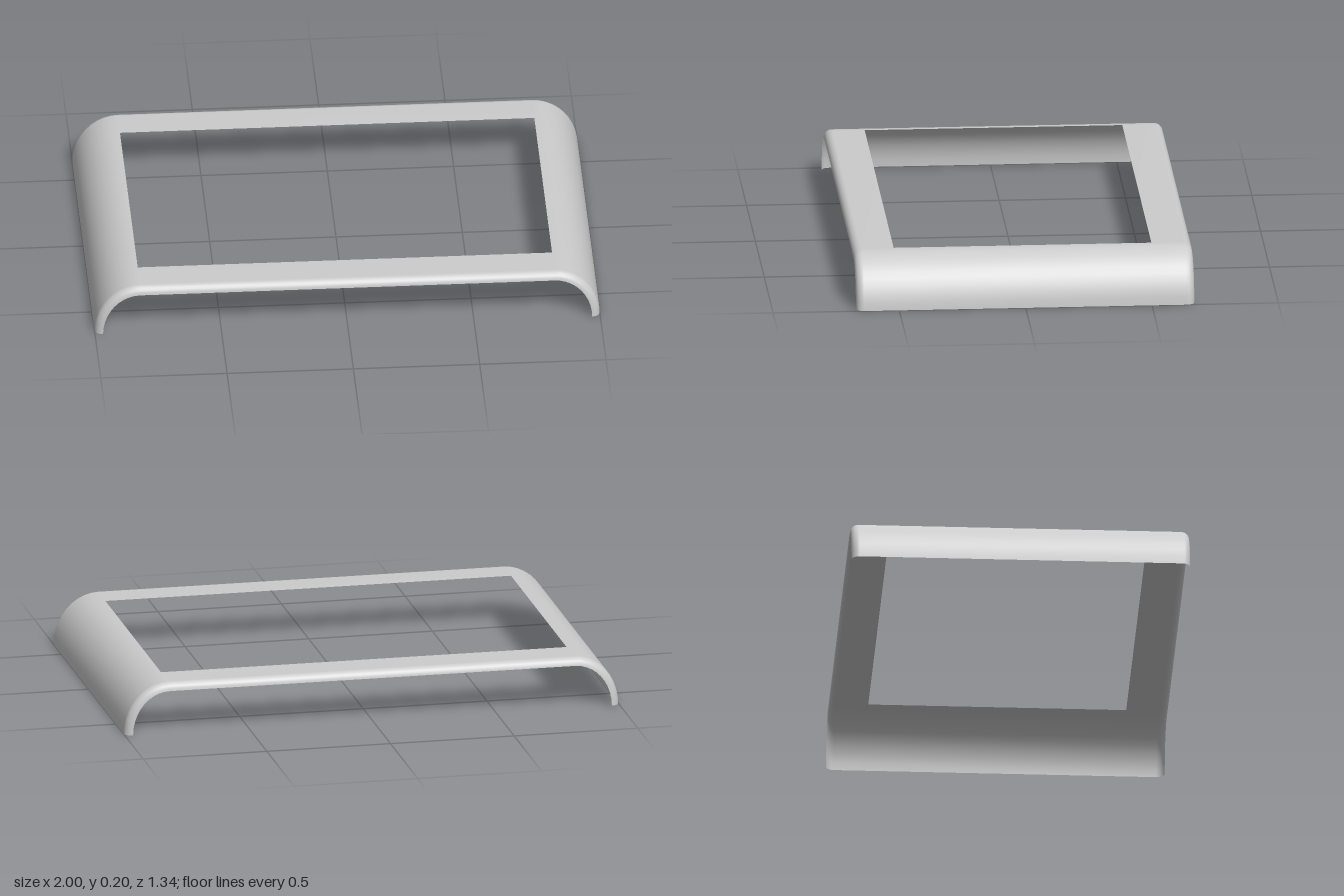
import * as THREE from 'three';

// Open frame cover: curved side walls, flat top with a window, rounded front and back lips.
const HALF_TOP = 0.82, ARC_X = 0.18, HEIGHT = 0.205;
const HALF_DEPTH = 0.67, LIP = 0.032, WINDOW_Z = 0.51;
const ARC_STEPS = 10, LIP_STEPS = 5;

// Arch from the right foot to the left foot, each point with its outward normal
function archProfile() {
  const half = [];
  for (let i = 0; i <= ARC_STEPS; i++) {
    const a = (i / ARC_STEPS) * Math.PI / 2;
    const n = new THREE.Vector2(Math.cos(a) / ARC_X, Math.sin(a) / HEIGHT).normalize();
    half.push({ x: -HALF_TOP - ARC_X * Math.cos(a), y: HEIGHT * Math.sin(a), nx: -n.x, ny: n.y });
  }
  const mirrored = half.map(p => ({ x: -p.x, y: p.y, nx: -p.nx, ny: p.ny })).reverse();
  return [...half, ...mirrored];
}

// Front-to-back stations: z and how far the skin is drawn inwards
function depthStations() {
  const front = [];
  for (let k = 0; k <= LIP_STEPS; k++) {
    const a = (k / LIP_STEPS) * Math.PI / 2;
    front.push({ z: HALF_DEPTH - LIP + LIP * Math.cos(a), inset: LIP * (1 - Math.sin(a)) });
  }
  front.push({ z: WINDOW_Z, inset: 0 });
  return [...front, ...front.map(s => ({ z: -s.z, inset: s.inset })).reverse()];
}

function frameGeometry() {
  const arch = archProfile(), stations = depthStations();
  const positions = [], indices = [], cols = arch.length;
  for (const s of stations) {
    for (const p of arch) positions.push(p.x - p.nx * s.inset, p.y - p.ny * s.inset, s.z);
  }
  const windowRow = stations.length / 2 - 1, windowCol = ARC_STEPS;
  for (let j = 0; j < stations.length - 1; j++) {
    for (let i = 0; i < cols - 1; i++) {
      if (j === windowRow && i === windowCol) continue; // window opening
      const a = j * cols + i, b = a + 1, c = a + cols, d = c + 1;
      indices.push(a, b, c, b, d, c);
    }
  }
  const geometry = new THREE.BufferGeometry();
  geometry.setAttribute('position', new THREE.Float32BufferAttribute(positions, 3));
  geometry.setIndex(indices);
  geometry.computeVertexNormals();
  return geometry;
}

export function createModel() {
  const group = new THREE.Group();
  group.name = 'frameCover';
  const lightGrey = new THREE.MeshStandardMaterial({ color: 0xcccccc, side: THREE.DoubleSide });
  lightGrey.name = 'lightGrey';
  const frame = new THREE.Mesh(frameGeometry(), lightGrey);
  frame.name = 'frameShell';
  group.add(frame);
  return group;
}
